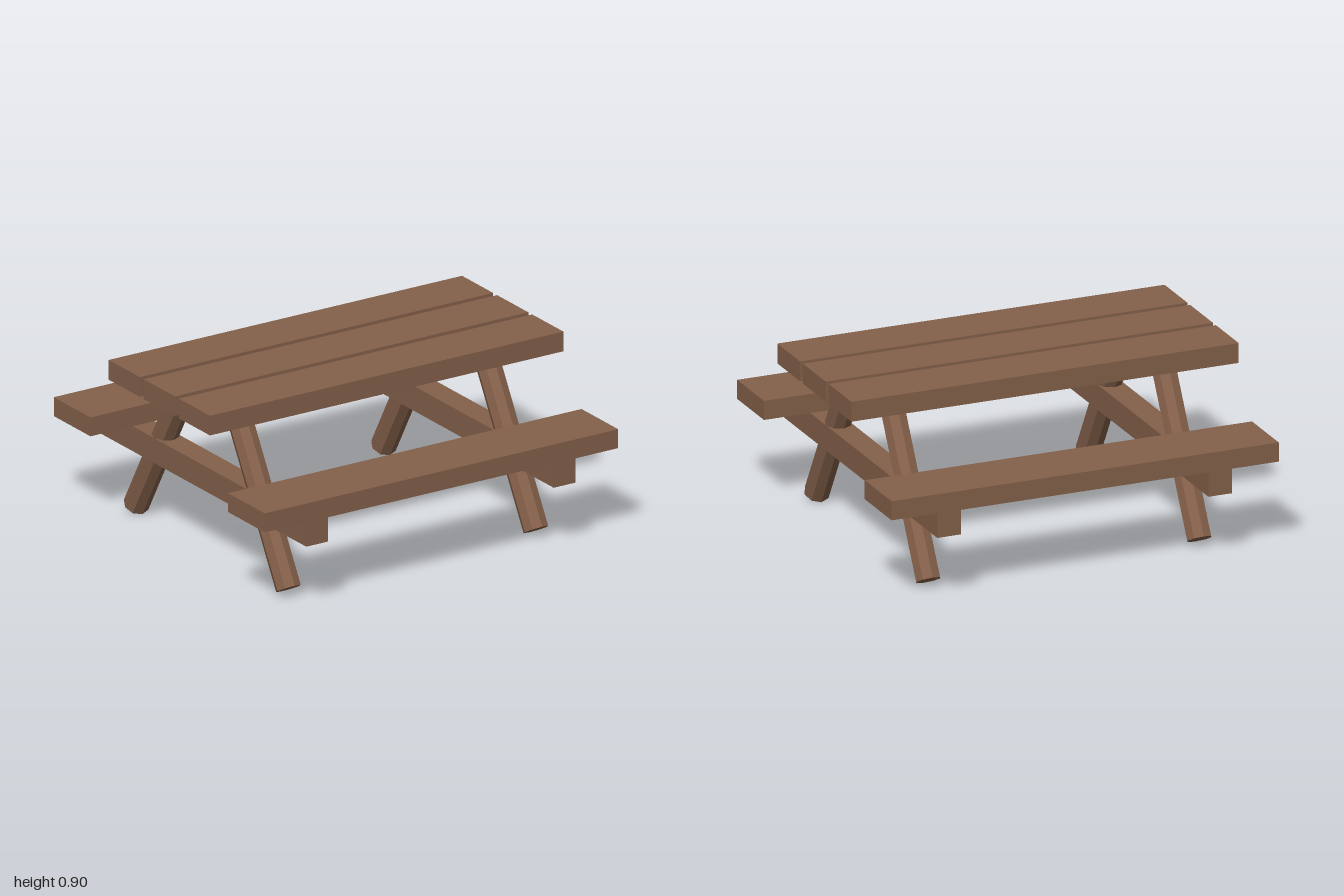
import * as THREE from 'three';

export function createModel() {
  const model = new THREE.Group();
  model.name = 'picnicTable';
  const wood = new THREE.MeshStandardMaterial({ color: 0x84604a, flatShading: true });

  function add(name, geometry, x, y, z) {
    const mesh = new THREE.Mesh(geometry, wood);
    mesh.name = name;
    mesh.position.set(x, y, z);
    model.add(mesh);
    return mesh;
  }

  // Three tabletop planks with narrow gaps
  const plank = new THREE.BoxGeometry(2, 0.1, 0.268);
  for (const i of [-1, 0, 1]) add('tabletopPlank', plank, 0, 0.852, i * 0.302);

  // Benches on both long sides
  const bench = new THREE.BoxGeometry(2, 0.096, 0.316);
  for (const side of [-1, 1]) add('benchSeat', bench, 0, 0.512, side * 0.75);

  // Cross beams carrying the benches, each with a pair of splayed octagonal legs
  const beam = new THREE.BoxGeometry(0.123, 0.126, 1.804);
  const leg = new THREE.CylinderGeometry(0.0625, 0.0625, 0.906, 8);
  for (const x of [-0.7, 0.7]) {
    add('crossBeam', beam, x, 0.401, 0);
    for (const side of [-1, 1]) {
      add('leg', leg, x, 0.4255, side * 0.429).rotation.x = -side * Math.PI / 6;
    }
  }
  return model;
}
